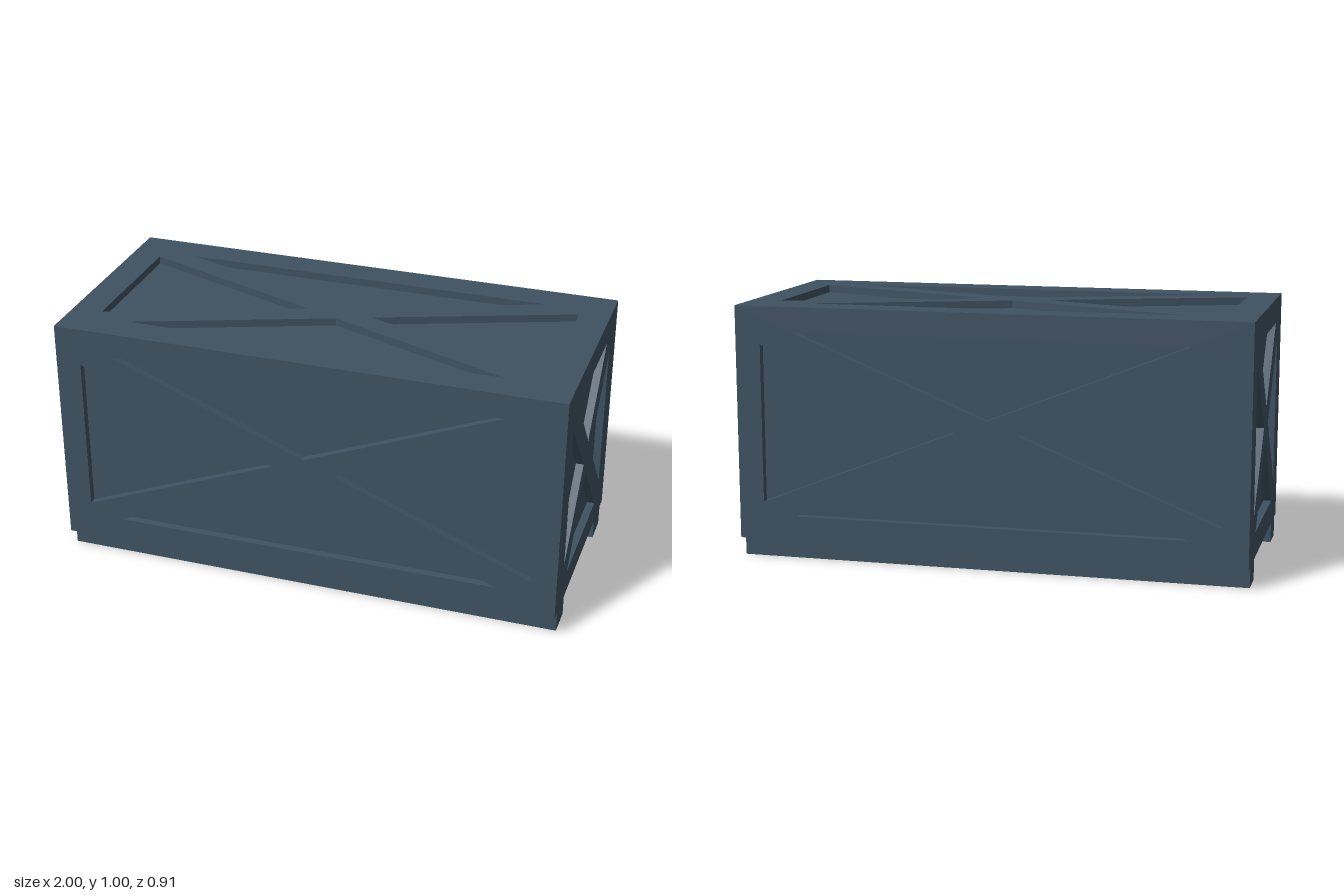
import * as THREE from 'three';

const W = 2, D = 0.91, BASE = 0.08, TOP = 1, DEPTH = 0.03;
const H = TOP - BASE, MID = (TOP + BASE) / 2;

// Four triangles left between the frame and its crossed braces, counter-clockwise.
// [half width, outer edge, inner tip] of the upright pair, then of the side pair.
function triangles([w, edge, tip], [h, sideEdge, sideTip]) {
  return [
    [[0, tip], [w, edge], [-w, edge]],
    [[0, -tip], [-w, -edge], [w, -edge]],
    [[sideTip, 0], [sideEdge, -h], [sideEdge, h]],
    [[-sideTip, 0], [-sideEdge, h], [-sideEdge, -h]],
  ].map(t => t.map(([x, y]) => new THREE.Vector2(x, y)));
}

// Inward-facing walls of one recess
function recessWalls(points) {
  const pos = [];
  points.forEach((a, i) => {
    const b = points[(i + 1) % points.length];
    pos.push(a.x, a.y, 0, b.x, b.y, 0, b.x, b.y, -DEPTH);
    pos.push(a.x, a.y, 0, b.x, b.y, -DEPTH, a.x, a.y, -DEPTH);
  });
  const g = new THREE.BufferGeometry();
  g.setAttribute('position', new THREE.Float32BufferAttribute(pos, 3));
  g.computeVertexNormals();
  return g;
}

export function createModel() {
  const model = new THREE.Group();
  model.name = 'crate';
  const slate = new THREE.MeshStandardMaterial({ color: 0x3e5161, side: THREE.DoubleSide });
  slate.name = 'slate blue';

  const add = (parent, geometry, name) => {
    const mesh = new THREE.Mesh(geometry, slate);
    mesh.name = name;
    parent.add(mesh);
    return mesh;
  };

  // Flat frame with crossed braces and four sunken triangles, facing local +z
  function panel(name, w, h, tris, position, rotation) {
    const group = new THREE.Group();
    group.name = name;
    const x = w / 2, y = h / 2;
    const frame = new THREE.Shape([[-x, -y], [x, -y], [x, y], [-x, y]].map(p => new THREE.Vector2(...p)));
    frame.holes = tris.map(t => new THREE.Path(t));
    add(group, new THREE.ShapeGeometry(frame), 'braceFrame');
    for (const t of tris) {
      add(group, recessWalls(t), 'recessWalls');
      add(group, new THREE.ShapeGeometry(new THREE.Shape(t)), 'recessFloor').position.z = -DEPTH;
    }
    group.position.set(...position);
    group.rotation.set(...rotation);
    model.add(group);
  }

  const longTris = triangles([0.77, 0.362, 0.05], [0.31, 0.9, 0.125]);
  const endTris = triangles([0.265, 0.362, 0.07], [0.29, 0.33, 0.063]);
  const lidTris = triangles([0.74, 0.33, 0.05], [0.28, 0.88, 0.13]);

  panel('frontPanel', W, H, longTris, [0, MID, D / 2], [0, 0, 0]);
  panel('backPanel', W, H, longTris, [0, MID, -D / 2], [0, Math.PI, 0]);
  panel('leftPanel', D, H, endTris, [W / 2, MID, 0], [0, Math.PI / 2, 0]);
  panel('rightPanel', D, H, endTris, [-W / 2, MID, 0], [0, -Math.PI / 2, 0]);
  panel('lid', W, D, lidTris, [0, TOP, 0], [-Math.PI / 2, 0, 0]);

  // Plain underside
  const floor = add(model, new THREE.PlaneGeometry(W, D), 'underside');
  floor.rotation.x = Math.PI / 2;
  floor.position.y = BASE;

  // Hollow skids, open at top and bottom
  for (const s of [-1, 1]) {
    const skid = new THREE.Group();
    skid.name = s > 0 ? 'frontSkid' : 'backSkid';
    skid.position.set(0, BASE / 2, s * 0.3475);
    for (const e of [-1, 1]) {
      const side = add(skid, new THREE.PlaneGeometry(W, BASE), 'skidSide');
      side.position.z = e * 0.0595;
      side.rotation.y = e > 0 ? 0 : Math.PI;
      const end = add(skid, new THREE.PlaneGeometry(0.119, BASE), 'skidEnd');
      end.position.x = e * W / 2;
      end.rotation.y = e * Math.PI / 2;
    }
    model.add(skid);
  }
  return model;
}
